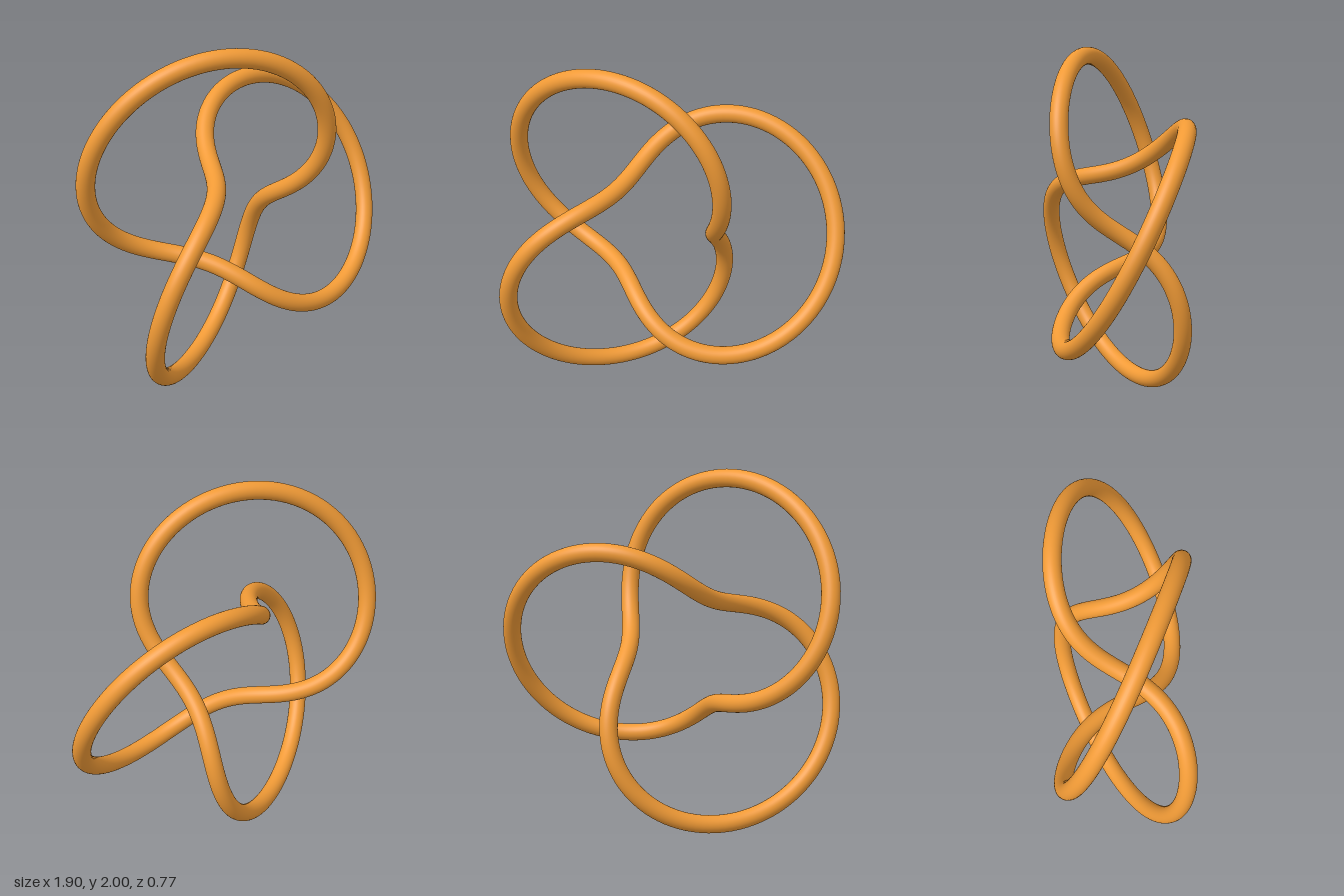
import * as THREE from 'three';

export function createModel() {
  const group = new THREE.Group();

  // Trefoil: two turns around the axis, three left-handed windings (negative q)
  const geometry = new THREE.TorusKnotGeometry(0.6716, 0.0502, 320, 32, 2, -3);

  // Centre on x and z, stand on the ground
  geometry.computeBoundingBox();
  const { min, max } = geometry.boundingBox;
  geometry.translate(-(min.x + max.x) / 2, -min.y, -(min.z + max.z) / 2);

  const knot = new THREE.Mesh(geometry, new THREE.MeshStandardMaterial({ color: 0xf09a36 }));
  knot.name = 'trefoilKnot';
  group.add(knot);
  return group;
}
